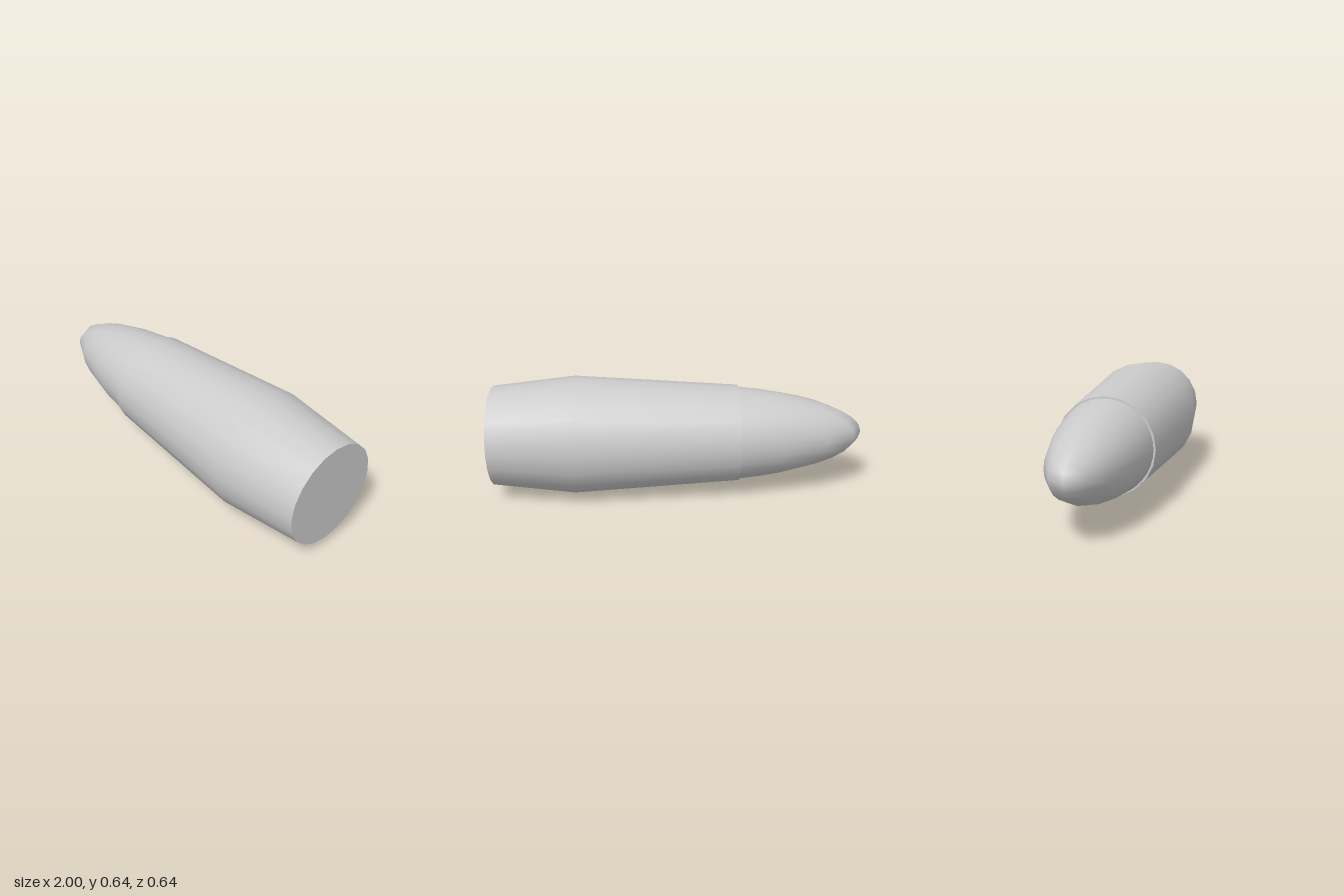
import * as THREE from 'three';

const SIDES = 20;
const AXIS_Y = 0.32; // height of the long axis

export function createModel() {
  const group = new THREE.Group();
  const material = new THREE.MeshStandardMaterial({ color: 0xcccccc });

  const add = (name, geometry) => {
    const mesh = new THREE.Mesh(geometry, material);
    mesh.name = name;
    mesh.position.y = AXIS_Y;
    group.add(mesh);
    return mesh;
  };

  // Casing: tapered barrel, widest near the rear; profile is [radius, x]
  const profile = [[0.263, -0.32], [0.32, 0.56], [0.27, 1]];
  const casing = new THREE.LatheGeometry(
    profile.map(([r, x]) => new THREE.Vector2(r, x)), SIDES);
  casing.rotateZ(-Math.PI / 2);
  add('casing', casing);

  // Flat end discs: the front lip around the nose and the rear base
  const addDisc = (name, radius, x, direction) => {
    const disc = new THREE.CircleGeometry(radius, SIDES);
    disc.rotateY(direction * Math.PI / 2);
    disc.translate(x, 0, 0);
    add(name, disc);
  };
  addDisc('frontLip', 0.263, -0.32, -1);
  addDisc('rearBase', 0.27, 1, 1);

  // Nose: half of a long ellipsoid, its open end hidden inside the casing
  const nose = new THREE.SphereGeometry(1, SIDES / 2, SIDES, -Math.PI / 2, Math.PI);
  nose.scale(1.07, 0.272, 0.272);
  nose.translate(0.07, 0, 0);
  add('nose', nose);

  return group;
}
